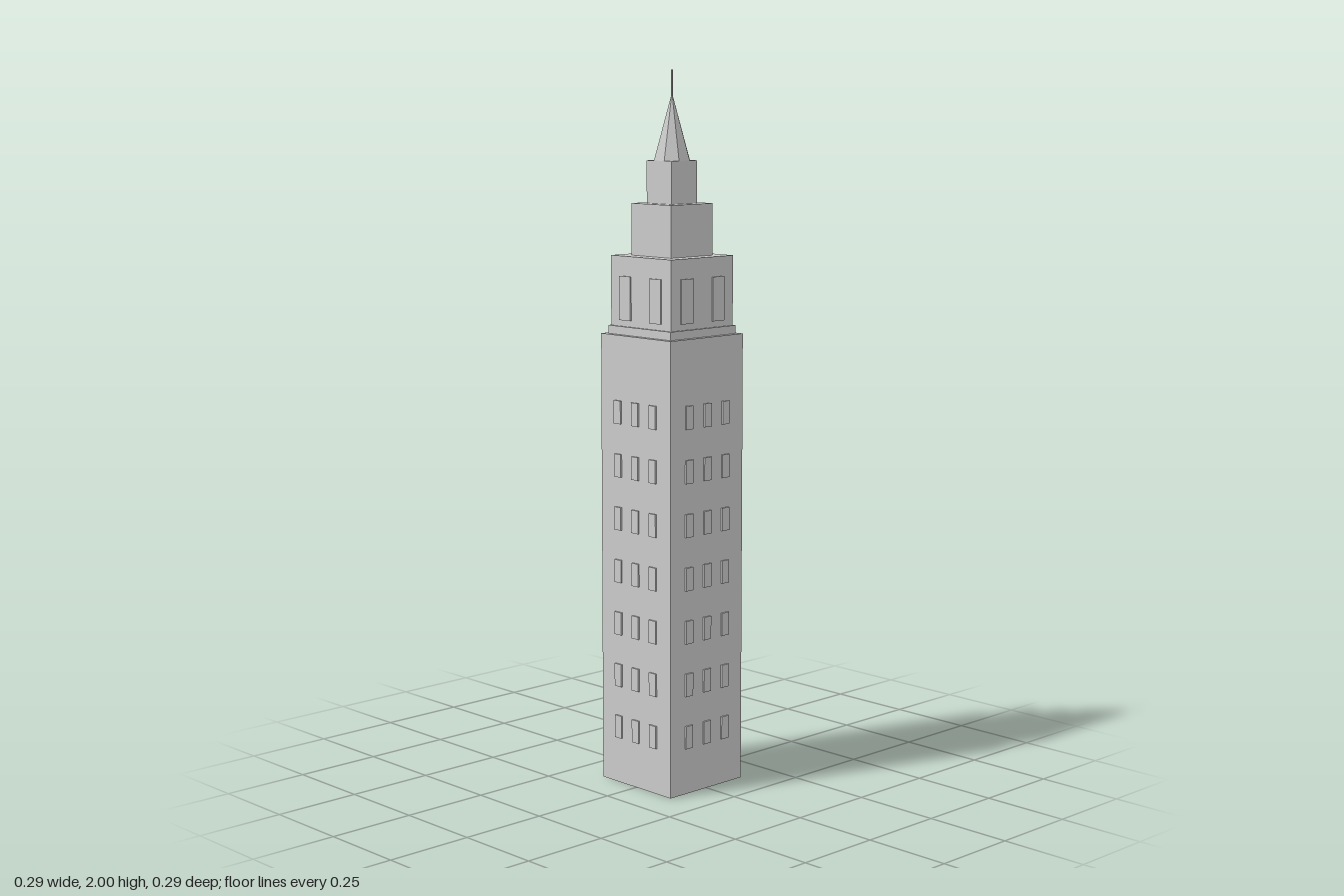
import * as THREE from 'three';

export function createModel() {
  const model = new THREE.Group();
  model.name = 'tower';
  const material = new THREE.MeshStandardMaterial({ color: 0xcccccc, flatShading: true });

  function add(name, geometry, x, y, z, parent = model) {
    const mesh = new THREE.Mesh(geometry, material);
    mesh.name = name;
    mesh.position.set(x, y, z);
    parent.add(mesh);
    return mesh;
  }

  // Square setback tiers: name, half width, bottom, top
  const tiers = [
    ['shaft', 0.139, 0, 1.277],
    ['ledge', 0.125, 1.277, 1.3],
    ['belfry', 0.119, 1.3, 1.494],
    ['upperTier', 0.079, 1.494, 1.637],
    ['lantern', 0.049, 1.637, 1.754],
  ];
  for (const [name, half, bottom, top] of tiers) {
    add(name, new THREE.BoxGeometry(half * 2, top - bottom, half * 2), 0, (bottom + top) / 2, 0);
  }

  // Octagonal spire with flats facing the sides, and a thin mast
  const spire = add('spire', new THREE.ConeGeometry(0.053, 0.184, 8), 0, 1.846, 0);
  spire.rotation.y = Math.PI / 8;
  add('mast', new THREE.CylinderGeometry(0.003, 0.003, 0.1, 8), 0, 1.95, 0);

  // Raised windows and belfry panels, repeated on all four sides
  const windowGeometry = new THREE.BoxGeometry(0.027, 0.065, 0.01);
  const panelGeometry = new THREE.BoxGeometry(0.045, 0.122, 0.008);
  for (let side = 0; side < 4; side++) {
    const facade = new THREE.Group();
    facade.name = 'facade';
    facade.rotation.y = side * Math.PI / 2;
    model.add(facade);
    for (let row = 0; row < 7; row++) {
      for (const x of [-0.07, 0, 0.07]) {
        add('window', windowGeometry, x, 0.163 + row * 0.15, 0.139, facade);
      }
    }
    for (const x of [-0.06, 0.06]) {
      add('belfryPanel', panelGeometry, x, 1.378, 0.119, facade);
    }
  }

  return model;
}
